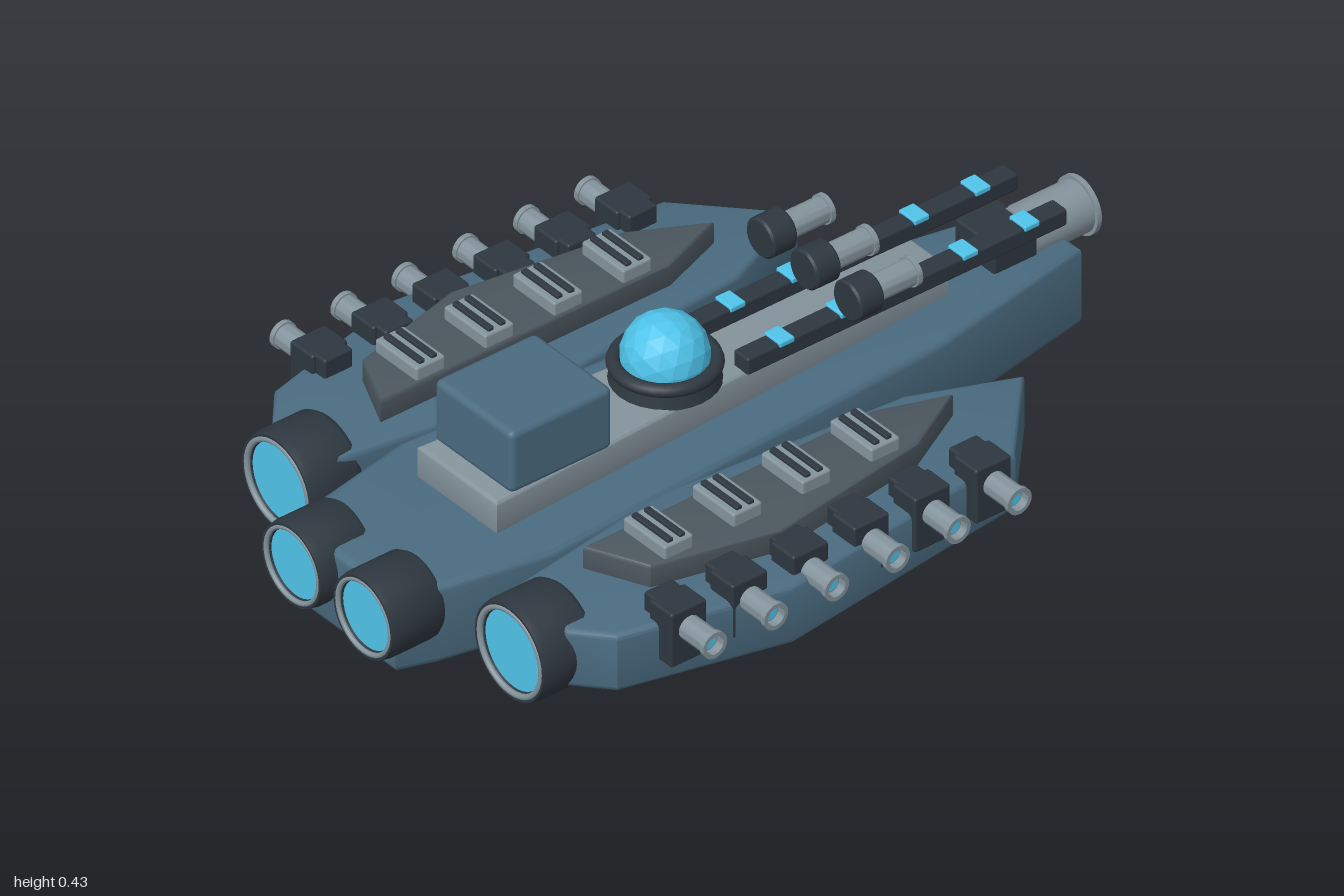
import * as THREE from 'three';
import { RoundedBoxGeometry } from 'three/addons/geometries/RoundedBoxGeometry.js';
import { toCreasedNormals } from 'three/addons/utils/BufferGeometryUtils.js';

const mat = (color) => new THREE.MeshStandardMaterial({ color });
const HULL = mat(0x4a6b80), DARK = mat(0x2e3740), GREY = mat(0x84939c);
const DECK = mat(0x4b565e), GLOW = mat(0x4fc3ea);

export function createModel() {
  const root = new THREE.Group();
  root.name = 'spaceship';

  const add = (parent, name, geometry, material, x = 0, y = 0, z = 0) => {
    const mesh = new THREE.Mesh(geometry, material);
    mesh.name = name;
    mesh.position.set(x, y, z);
    parent.add(mesh);
    return mesh;
  };
  const group = (name, x = 0, y = 0, z = 0) => {
    const g = new THREE.Group();
    g.name = name;
    g.position.set(x, y, z);
    root.add(g);
    return g;
  };
  const box = (w, h, d, r = 0.006) => new RoundedBoxGeometry(w, h, d, 2, r);

  // Bevelled slab from an [x, z] outline, spanning y0..y1
  const plate = (outline, y0, y1, bevel) => {
    const shape = new THREE.Shape(outline.map(([x, z]) => new THREE.Vector2(x, -z)));
    const geo = new THREE.ExtrudeGeometry(shape, {
      depth: y1 - y0 - 2 * bevel, bevelThickness: bevel, bevelSize: bevel,
      bevelOffset: -bevel, bevelSegments: 3,
    });
    geo.rotateX(-Math.PI / 2).translate(0, y0 + bevel, 0);
    return toCreasedNormals(geo, 0.6);
  };
  // Full outline from one half, listed bow to stern
  const symmetric = (half) => [...half, ...half.map(([x, z]) => [-x, z]).reverse()];

  // Lathe along +z from [radius, z] points
  const turned = (points, segments = 28) => toCreasedNormals(
    new THREE.LatheGeometry(points.map(([r, z]) => new THREE.Vector2(r, z)), segments)
      .rotateX(Math.PI / 2), 0.6);

  // Hollow barrel along +z with a lipped, glowing muzzle
  const barrel = (parent, r, length) => {
    const lip = r * 1.13, bore = r * 0.78;
    add(parent, 'barrel', turned([[0, 0], [r, 0], [r, length - 0.012], [lip, length - 0.012],
      [lip, length], [bore, length], [bore, length - 0.02], [0, length - 0.02]]), GREY);
    add(parent, 'muzzleGlow', new THREE.CircleGeometry(bore * 0.75, 20), GLOW, 0, 0, length - 0.017);
  };

  // Central hull and raised spine
  add(root, 'centralHull', plate(symmetric([[0.1, -0.92], [0.185, -0.48], [0.25, 0.6],
    [0.2, 0.86], [0.17, 0.95]]), 0.012, 0.21, 0.018), HULL);
  add(root, 'spineDeck', plate(symmetric([[0.06, -0.6], [0.13, 0.65]]), 0.2, 0.287, 0.01), GREY);

  // Bridge
  add(root, 'bridge', box(0.255, 0.155, 0.27, 0.016), HULL, 0, 0.362, 0.475);
  add(root, 'bridgeWindow', box(0.2, 0.015, 0.014, 0.003), GLOW, 0, 0.408, 0.335);

  // Faceted dome in its collar
  const dome = group('sensorDome', 0, 0.287, 0.1);
  add(dome, 'collar', new THREE.CylinderGeometry(0.11, 0.12, 0.045, 28), DARK, 0, 0.02, 0);
  add(dome, 'collarRing', new THREE.TorusGeometry(0.107, 0.016, 10, 36).rotateX(Math.PI / 2), DARK, 0, 0.04, 0);
  const glass = GLOW.clone();
  glass.flatShading = true;
  add(dome, 'domeGlass', new THREE.IcosahedronGeometry(0.096, 2), glass, 0, 0.056, 0);

  // Twin rails with running lights
  for (const s of [-1, 1]) {
    const rail = group(s > 0 ? 'leftRail' : 'rightRail', s * 0.08, 0.304, 0);
    add(rail, 'railBar', box(0.048, 0.042, 0.845), DARK, 0, 0, -0.457);
    for (let i = 0; i < 5; i++) {
      add(rail, 'railLight', box(0.054, 0.014, 0.04, 0.004), GLOW, 0, 0.02, -0.785 + i * 0.162);
    }
  }

  // Bow cannon
  const cannon = group('bowCannon', 0, 0.226, -0.82);
  cannon.rotation.y = Math.PI;
  barrel(cannon, 0.06, 0.18);
  add(cannon, 'cannonBreech', box(0.13, 0.1, 0.115), DARK, 0, 0.004, -0.045);

  // Forward guns
  for (const x of [-0.142, 0, 0.142]) {
    const gun = group('forwardGun', x, 0.39, -0.325);
    gun.rotation.y = Math.PI;
    add(gun, 'gunBreech', turned([[0, -0.06], [0.042, -0.06], [0.047, -0.055],
      [0.047, 0], [0.042, 0.005], [0, 0.005]]), DARK);
    barrel(gun, 0.03, 0.115);
  }

  // Engine along +z, with a recessed glow inside a grey rim
  const engine = (name, x, y, z, r, length) => {
    const e = group(name, x, y, z);
    add(e, 'engineHousing', turned([[0, 0], [r * 0.93, 0], [r, 0.012], [r, length - 0.02],
      [r * 0.96, length], [r * 0.85, length], [r * 0.8, length - 0.02], [0, length - 0.02]], 36), DARK);
    add(e, 'engineRim', new THREE.TorusGeometry(r * 0.86, r * 0.06, 10, 40), GREY, 0, 0, length - 0.004);
    add(e, 'engineGlow', new THREE.CircleGeometry(r * 0.79, 36), GLOW, 0, 0, length - 0.012);
  };

  for (const s of [-1, 1]) {
    const side = s > 0 ? 'left' : 'right';
    const mirror = (pts) => pts.map(([x, z]) => [s * x, z]);

    // Side hull and its deck plate
    add(root, side + 'SideHull', plate(mirror([[0.37, -0.55], [0.575, -0.36], [0.655, 0.29],
      [0.56, 0.68], [0.48, 0.75], [0.29, 0.76], [0.22, 0.3], [0.268, -0.31]]), 0.06, 0.205, 0.014), HULL);
    add(root, side + 'DeckPlate', plate(mirror([[0.39, -0.345], [0.48, -0.18], [0.54, 0.23],
      [0.47, 0.52], [0.33, 0.585], [0.33, -0.18]]), 0.195, 0.26, 0.008), DECK);

    // Slatted deck vents
    for (let i = 0; i < 4; i++) {
      const vent = group(side + 'Vent', s * 0.405, 0.273, -0.1 + i * 0.182);
      add(vent, 'ventHousing', box(0.137, 0.036, 0.077), GREY);
      for (const z of [-0.016, 0.016]) add(vent, 'ventSlat', box(0.12, 0.014, 0.015, 0.003), DARK, 0, 0.019, z);
    }

    // Broadside guns
    for (let i = 0; i < 6; i++) {
      const gun = group(side + 'BroadsideGun', s * 0.61, 0.2, -0.264 + i * 0.161);
      gun.rotation.y = s * Math.PI / 2;
      add(gun, 'gunMount', box(0.094, 0.135, 0.075), DARK, 0, -0.018, -0.024);
      add(gun, 'gunSleeve', box(0.075, 0.07, 0.06), DARK, 0, 0.015, -0.06);
      barrel(gun, 0.028, 0.098);
    }

    engine(side + 'OuterEngine', s * 0.38, 0.126, 0.68, 0.117, 0.14);
    engine(side + 'InnerEngine', s * 0.117, 0.146, 0.852, 0.1, 0.142);
  }
  return root;
}
